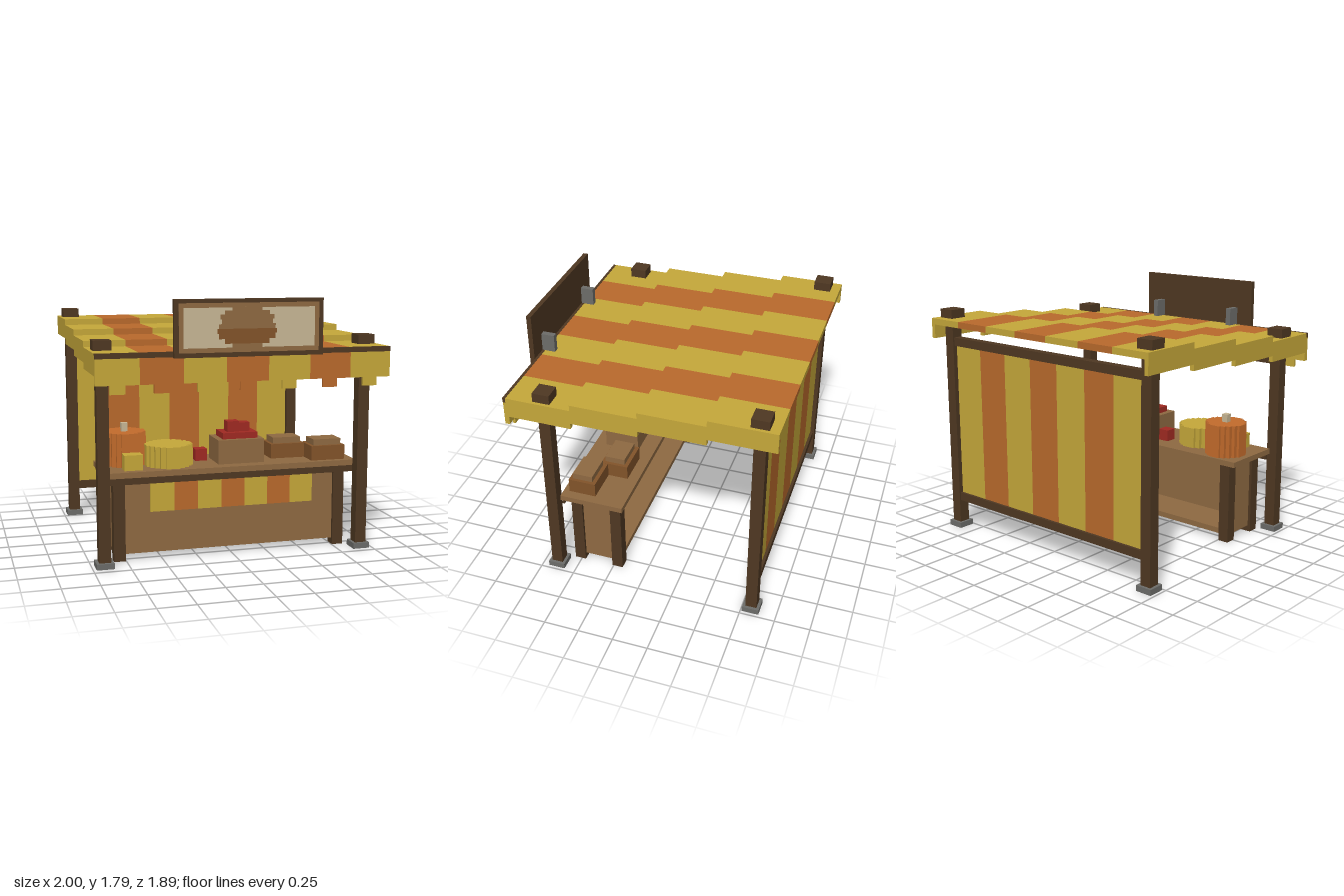
import * as THREE from 'three';

const mat = (name, color) => {
  const m = new THREE.MeshStandardMaterial({ color });
  m.name = name;
  return m;
};

export function createModel() {
  const root = new THREE.Group();
  root.name = 'marketStall';
  const yellow = mat('yellow cloth', 0xc6a83a);
  const orange = mat('orange cloth', 0xba6a2c);
  const dark = mat('dark wood', 0x4f3822);
  const wood = mat('mid wood', 0x8f6a42);
  const crateWood = mat('crate wood', 0x83542a);
  const red = mat('red fruit', 0xa12a22);
  const grey = mat('grey stone', 0x6d6d6a);
  const cream = mat('cream', 0xc9b896);
  const pumpkinSkin = mat('pumpkin orange', 0xc46c2c);

  const group = (name) => {
    const g = new THREE.Group();
    g.name = name;
    root.add(g);
    return g;
  };
  // box given by its extents on each axis
  const box = (parent, name, m, x0, x1, y0, y1, z0, z1) => {
    const mesh = new THREE.Mesh(new THREE.BoxGeometry(x1 - x0, y1 - y0, z1 - z0), m);
    mesh.position.set((x0 + x1) / 2, (y0 + y1) / 2, (z0 + z1) / 2);
    mesh.name = name;
    parent.add(mesh);
  };
  // row of seven alternating stripes
  const stripes = (parent, name, half, y0, y1, z0, z1) => {
    const w = (2 * half) / 7;
    for (let i = 0; i < 7; i++) {
      box(parent, name, i % 2 ? orange : yellow, -half + i * w, -half + (i + 1) * w, y0, y1, z0, z1);
    }
  };
  // round block with a stair-stepped outline
  const steppedDisc = (parent, name, m, r, x, y, z, h) => {
    const q = [[1, 0.3], [0.88, 0.3], [0.88, 0.52], [0.72, 0.52], [0.72, 0.72],
      [0.52, 0.72], [0.52, 0.88], [0.3, 0.88], [0.3, 1]];
    const pts = [];
    for (let k = 0; k < 4; k++) {
      const a = (k * Math.PI) / 2;
      for (const [px, py] of q) {
        pts.push(new THREE.Vector2(px * r, py * r).rotateAround(new THREE.Vector2(), a));
      }
    }
    const geo = new THREE.ExtrudeGeometry(new THREE.Shape(pts), { depth: h, bevelEnabled: false });
    geo.rotateX(-Math.PI / 2);
    const mesh = new THREE.Mesh(geo, m);
    mesh.position.set(x, y, z);
    mesh.name = name;
    parent.add(mesh);
  };

  // posts with feet and caps
  const frame = group('frame');
  for (const s of [-1, 1]) {
    for (const [z, top] of [[0.64, 1.46], [-0.82, 1.585]]) {
      const x = s * 0.917;
      box(frame, 'post', dark, x - 0.04, x + 0.04, 0.04, top - 0.02, z - 0.04, z + 0.04);
      box(frame, 'foot', grey, x - 0.06, x + 0.06, 0, 0.04, z - 0.06, z + 0.06);
      box(frame, 'postCap', dark, x - 0.06, x + 0.06, top - 0.01, top + 0.063, z - 0.06, z + 0.06);
    }
  }
  box(frame, 'frontBeam', dark, -0.88, 0.88, 1.26, 1.32, 0.61, 0.67);
  box(frame, 'rearTopBeam', dark, -0.88, 0.88, 1.385, 1.445, -0.85, -0.79);
  box(frame, 'rearBottomBeam', dark, -0.88, 0.88, 0.21, 0.27, -0.85, -0.79);

  // striped back curtain
  stripes(group('backCurtain'), 'curtainStripe', 0.875, 0.27, 1.39, -0.83, -0.81);

  // stepped striped roof with side flaps
  const roof = group('roof');
  const edges = [0.9, 0.43, -0.03, -0.49, -0.945];
  for (let i = 0; i < 4; i++) {
    const top = 1.458 + i * 0.0425;
    stripes(roof, 'roofStripe', 1, top - 0.044, top, edges[i + 1], i ? edges[i] : 0.885);
    for (const s of [-1, 1]) {
      const a = s * 0.97, b = s;
      box(roof, 'sideFlap', yellow, Math.min(a, b), Math.max(a, b), top - 0.143, top - 0.044, edges[i + 1], i ? edges[i] : 0.87);
    }
  }
  box(roof, 'frontBoard', dark, -1, 1, 1.425, 1.459, 0.885, 0.905);

  // front valance with hanging tabs
  const valance = group('valance');
  stripes(valance, 'valanceStripe', 1, 1.255, 1.425, 0.87, 0.903);
  for (let i = 0; i < 7; i++) {
    const x = -1 + ((i + 0.5) * 2) / 7;
    box(valance, 'valanceTab', i % 2 ? orange : yellow, x - 0.05, x + 0.05, 1.197, 1.255, 0.88, 0.9);
  }

  // sign board with brackets and a round emblem
  const sign = group('sign');
  box(sign, 'signBoard', dark, -0.5, 0.5, 1.42, 1.79, 0.905, 0.939);
  box(sign, 'signPanel', wood, -0.47, 0.47, 1.45, 1.765, 0.938, 0.941);
  box(sign, 'signFace', cream, -0.44, 0.44, 1.48, 1.735, 0.94, 0.943);
  const rows = [[1.715, 0.1], [1.69, 0.15], [1.66, 0.18], [1.63, 0.17], [1.6, 0.19],
    [1.57, 0.2], [1.535, 0.19], [1.505, 0.15], [1.48, 0.1]];
  rows.forEach(([y, w], i) => {
    const top = i ? rows[i - 1][0] : 1.738;
    box(sign, 'emblemRow', i > 4 && i < 8 ? crateWood : wood, -w - 0.02, w - 0.02, y, top, 0.942, 0.945);
  });
  for (const x of [-0.355, 0.35]) {
    box(sign, 'signBracket', grey, x - 0.02, x + 0.02, 1.455, 1.585, 0.81, 0.906);
  }

  // counter, open at the back
  const counter = group('counter');
  box(counter, 'counterTop', wood, -0.9, 0.9, 0.588, 0.627, 0.14, 0.6);
  box(counter, 'counterFascia', dark, -0.88, 0.88, 0.543, 0.588, 0.58, 0.598);
  for (const s of [-1, 1]) {
    const x = s * 0.794;
    for (const z of [0.51, 0.22]) {
      box(counter, 'counterLeg', dark, x - 0.04, x + 0.04, 0, 0.588, z - 0.04, z + 0.04);
    }
    box(counter, 'counterSide', wood, x - 0.02, x + 0.02, 0.045, 0.588, 0.26, 0.47);
  }
  box(counter, 'counterFront', wood, -0.76, 0.76, 0.045, 0.588, 0.5, 0.53);
  box(counter, 'bottomShelf', wood, -0.775, 0.775, 0.045, 0.085, 0.2, 0.5);
  stripes(group('counterCloth'), 'clothStripe', 0.583, 0.34, 0.588, 0.556, 0.572);

  // goods on the counter
  const goods = group('goods');
  const y = 0.627;
  steppedDisc(goods, 'pumpkin', pumpkinSkin, 0.145, -0.71, y, 0.303, 0.233);
  box(goods, 'pumpkinStem', cream, -0.732, -0.688, 0.855, 0.918, 0.285, 0.329);
  steppedDisc(goods, 'cheeseWheel', yellow, 0.163, -0.42, y, 0.407, 0.148);
  box(goods, 'cheeseBlock', yellow, -0.755, -0.628, y, 0.733, 0.455, 0.55);
  box(goods, 'looseApple', red, -0.21, -0.125, y, 0.71, 0.265, 0.35);
  box(goods, 'appleCrate', wood, -0.086, 0.246, y, 0.795, 0.26, 0.51);
  box(goods, 'appleLayer', red, -0.043, 0.208, 0.795, 0.838, 0.295, 0.47);
  box(goods, 'apple', red, 0.09, 0.175, 0.838, 0.847, 0.3, 0.39);
  box(goods, 'apple', red, 0, 0.086, 0.838, 0.913, 0.35, 0.43);
  box(goods, 'apple', red, 0.086, 0.165, 0.838, 0.9, 0.345, 0.42);
  for (const [x, z] of [[0.455, 0.315], [0.707, 0.46]]) {
    box(goods, 'breadCrate', crateWood, x - 0.125, x + 0.125, y, 0.73, z - 0.098, z + 0.098);
    box(goods, 'bread', wood, x - 0.102, x + 0.102, 0.73, 0.773, z - 0.07, z + 0.075);
  }
  return root;
}
